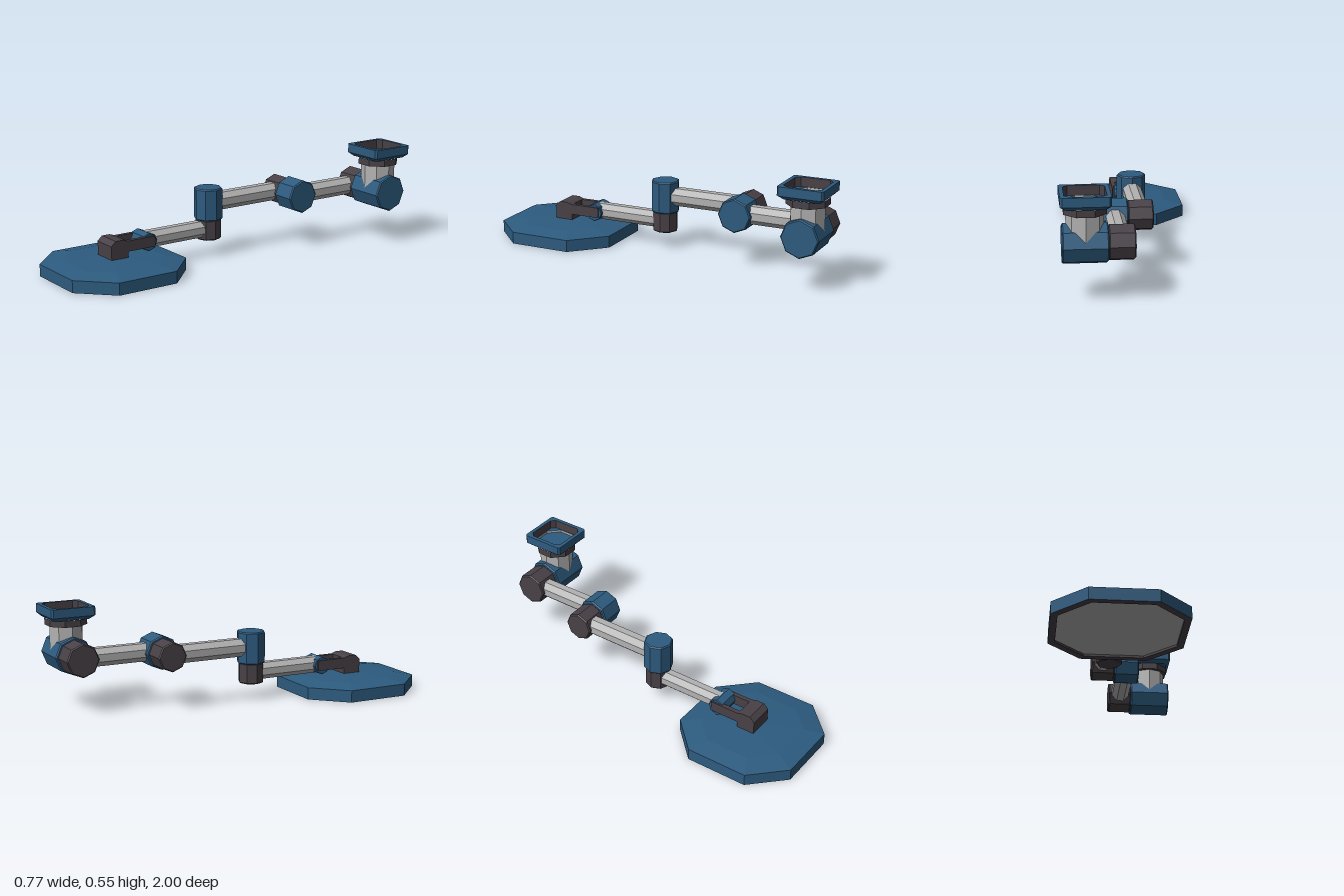
import * as THREE from 'three';

const material = (name, color) => {
  const m = new THREE.MeshStandardMaterial({ color, flatShading: true });
  m.name = name;
  return m;
};

export function createModel() {
  const blue = material('blue paint', 0x2d5b7f);
  const dark = material('dark metal', 0x484147);
  const grey = material('light grey metal', 0xb2b2b2);
  const model = new THREE.Group();
  const X = -0.045; // centre line of the base and first two arms

  const add = (name, geometry, mat, x = 0, y = 0, z = 0, parent = model) => {
    const mesh = new THREE.Mesh(geometry, mat);
    mesh.name = name;
    mesh.position.set(x, y, z);
    parent.add(mesh);
    return mesh;
  };

  // Eight-sided barrel with a small bevel at both ends, along the given axis
  const barrel = (r, length, axis, b = 0.006) => {
    const h = length / 2;
    const g = new THREE.LatheGeometry([
      [0, -h], [r - b, -h], [r, -h + b], [r, h - b], [r - b, h], [0, h],
    ].map(([px, py]) => new THREE.Vector2(px, py)), 8);
    if (axis === 'x') g.rotateZ(Math.PI / 2);
    return g;
  };

  // Eight-sided tube along z
  const arm = (name, r, x, y, z0, z1) => {
    const g = new THREE.CylinderGeometry(r, r, z0 - z1, 8);
    g.rotateY(Math.PI / 8).rotateX(Math.PI / 2);
    add(name, g, grey, x, y, (z0 + z1) / 2);
  };

  // Skin through chamfered squares: [half width, half flat side, height]
  const loft = (rings) => {
    const positions = [], index = [];
    for (const [h, c, y] of rings) {
      for (const [px, pz] of [[h, -c], [h, c], [c, h], [-c, h], [-h, c], [-h, -c], [-c, -h], [c, -h]]) {
        positions.push(px, y, pz);
      }
    }
    for (let r = 0; r < rings.length - 1; r++) {
      for (let i = 0; i < 8; i++) {
        const a = r * 8 + i, b = r * 8 + (i + 1) % 8, c = b + 8, d = a + 8;
        index.push(a, d, b, b, d, c);
      }
    }
    const g = new THREE.BufferGeometry();
    g.setAttribute('position', new THREE.Float32BufferAttribute(positions, 3));
    g.setIndex(index);
    g.computeVertexNormals();
    return g;
  };

  // Wide base plate, hollow beneath
  const base = new THREE.Group();
  base.name = 'base';
  base.position.set(X, 0, 0.66);
  model.add(base);
  add('baseShell', loft([[0.34, 0.17, 0], [0.34, 0.17, 0.065], [0.24, 0.12, 0.083], [0.07, 0.035, 0.092], [0, 0, 0.092]]), blue, 0, 0, 0, base);
  add('baseRim', loft([[0.305, 0.152, 0.012], [0.305, 0.152, 0], [0.34, 0.17, 0]]), dark, 0, 0, 0, base);
  add('baseUnderside', loft([[0, 0, 0.05], [0.305, 0.152, 0.012]]), grey, 0, 0, 0, base);

  // Fork on the base, holding the first pivot
  const profile = new THREE.Shape([
    [0.61, 0.08], [0.71, 0.08], [0.712, 0.165], [0.685, 0.19], [0.64, 0.19], [0.61, 0.18],
  ].map(([z, y]) => new THREE.Vector2(z, y)));
  const forkBase = new THREE.ExtrudeGeometry(profile, { depth: 0.138, bevelEnabled: false });
  forkBase.rotateY(-Math.PI / 2);
  add('forkBase', forkBase, dark, X + 0.069, 0, 0);
  for (const side of [-1, 1]) {
    add(side > 0 ? 'forkArmLeft' : 'forkArmRight', new THREE.BoxGeometry(0.024, 0.057, 0.18), dark, X + side * 0.057, 0.152, 0.535);
  }
  add('forkPivot', barrel(0.049, 0.122, 'x', 0.003), blue, X, 0.149, 0.475);
  arm('lowerArm', 0.048, X, 0.15, 0.47, 0.06);

  // First elbow, upright
  add('elbowLower', barrel(0.069, 0.112, 'y'), dark, X, 0.147, 0.06);
  add('elbowUpper', barrel(0.078, 0.174, 'y'), blue, X, 0.287, 0.06);
  arm('middleArm', 0.052, X, 0.29, 0.06, -0.435);

  // Second elbow, sideways
  add('middleElbowInner', barrel(0.08, 0.13, 'x'), dark, X, 0.288, -0.433);
  add('middleElbowOuter', barrel(0.092, 0.137, 'x'), blue, 0.088, 0.288, -0.433);
  arm('upperArm', 0.052, 0.087, 0.29, -0.435, -0.87);

  // Third elbow, sideways
  add('endElbowInner', barrel(0.09, 0.13, 'x'), dark, 0.086, 0.288, -0.877);
  add('endElbowOuter', barrel(0.102, 0.223, 'x'), blue, 0.262, 0.288, -0.877);

  // Square mounting head on a short post
  const head = new THREE.Group();
  head.name = 'mountingHead';
  head.position.set(0.262, 0, -0.877);
  model.add(head);
  add('post', new THREE.CylinderGeometry(0.092, 0.092, 0.15, 8), grey, 0, 0.37, 0, head);
  add('collar', loft([[0, 0, 0.442], [0.103, 0.043, 0.442], [0.103, 0.043, 0.478]]), dark, 0, 0, 0, head);
  add('frame', loft([[0.1, 0.09, 0.478], [0.122, 0.112, 0.498], [0.122, 0.112, 0.545], [0.101, 0.078, 0.545]]), blue, 0, 0, 0, head);
  add('frameBottom', loft([[0, 0, 0.478], [0.1, 0.09, 0.478]]), blue, 0, 0, 0, head);
  add('frameLining', loft([[0.101, 0.078, 0.545], [0.101, 0.078, 0.495]]), dark, 0, 0, 0, head);
  add('socketLedge', loft([[0.101, 0.078, 0.495], [0.098, 0.042, 0.495]]), blue, 0, 0, 0, head);
  add('socketWall', loft([[0.098, 0.042, 0.495], [0.098, 0.042, 0.482]]), grey, 0, 0, 0, head);
  add('socketFloor', loft([[0.098, 0.042, 0.482], [0, 0, 0.482]]), blue, 0, 0, 0, head);

  return model;
}
